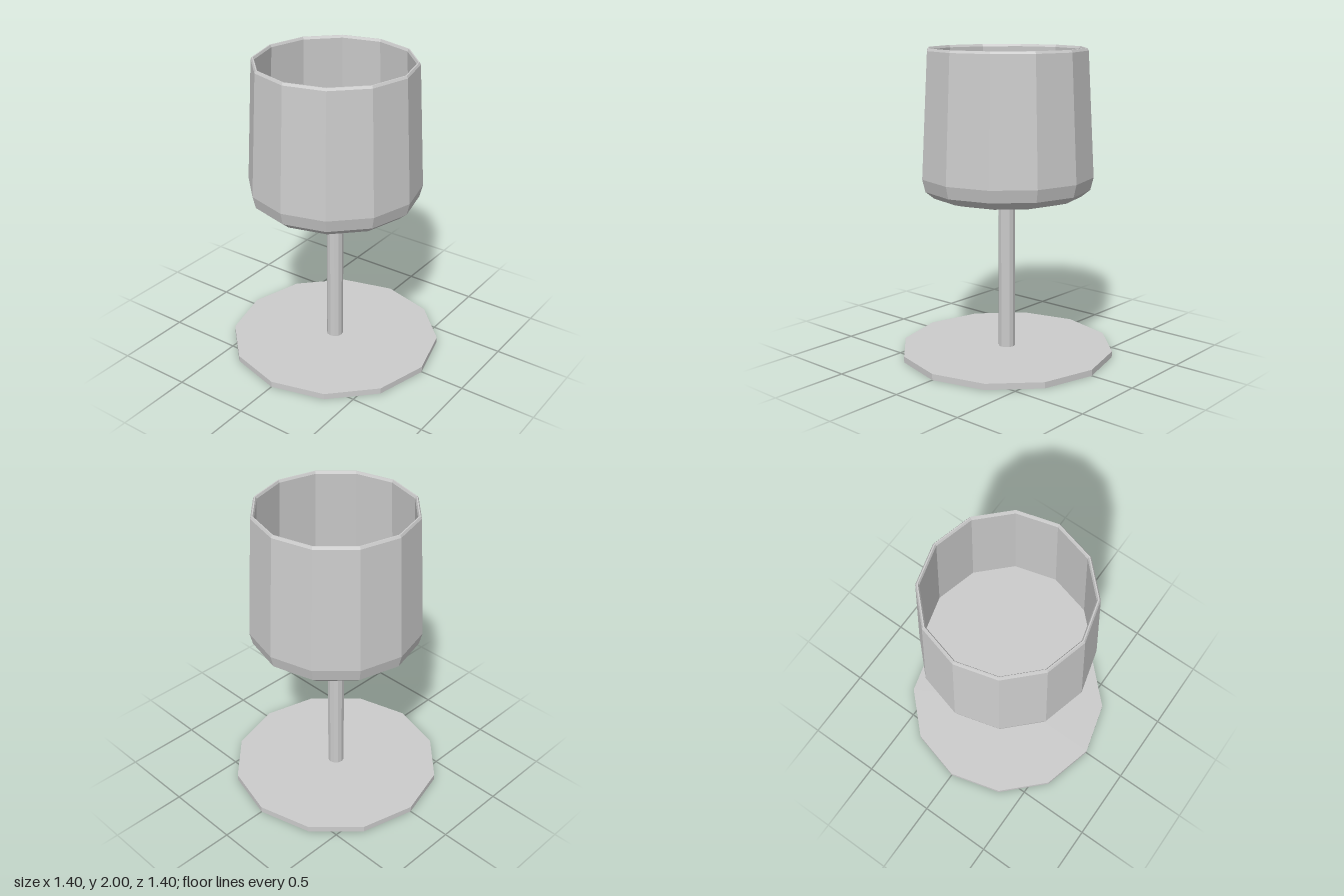
import * as THREE from 'three';

const SIDES = 12;

export function createModel() {
  const group = new THREE.Group();
  group.name = 'goblet';
  const material = new THREE.MeshStandardMaterial({ color: 0xcccccc, flatShading: true });

  const add = (name, geometry, y = 0) => {
    const mesh = new THREE.Mesh(geometry, material);
    mesh.name = name;
    mesh.position.y = y;
    group.add(mesh);
  };
  // Upright faceted cylinder between two heights
  const column = (name, radius, y0, y1) =>
    add(name, new THREE.CylinderGeometry(radius, radius, y1 - y0, SIDES), (y0 + y1) / 2);

  column('base', 0.7, 0, 0.04);
  column('stem', 0.055, 0.04, 1.05);

  // Hollow bowl: rounded underside, tapering wall, bevelled rim, inner wall and floor
  const profile = [
    [0, 1.045], [0.41, 1.045], [0.485, 1.065], [0.54, 1.11], [0.56, 1.19],
    [0.516, 1.985], [0.508, 2], [0.5, 2], [0.493, 1.985],
    [0.535, 1.19], [0, 1.19],
  ].map(([r, y]) => new THREE.Vector2(r, y));
  add('bowl', new THREE.LatheGeometry(profile, SIDES));

  return group;
}
